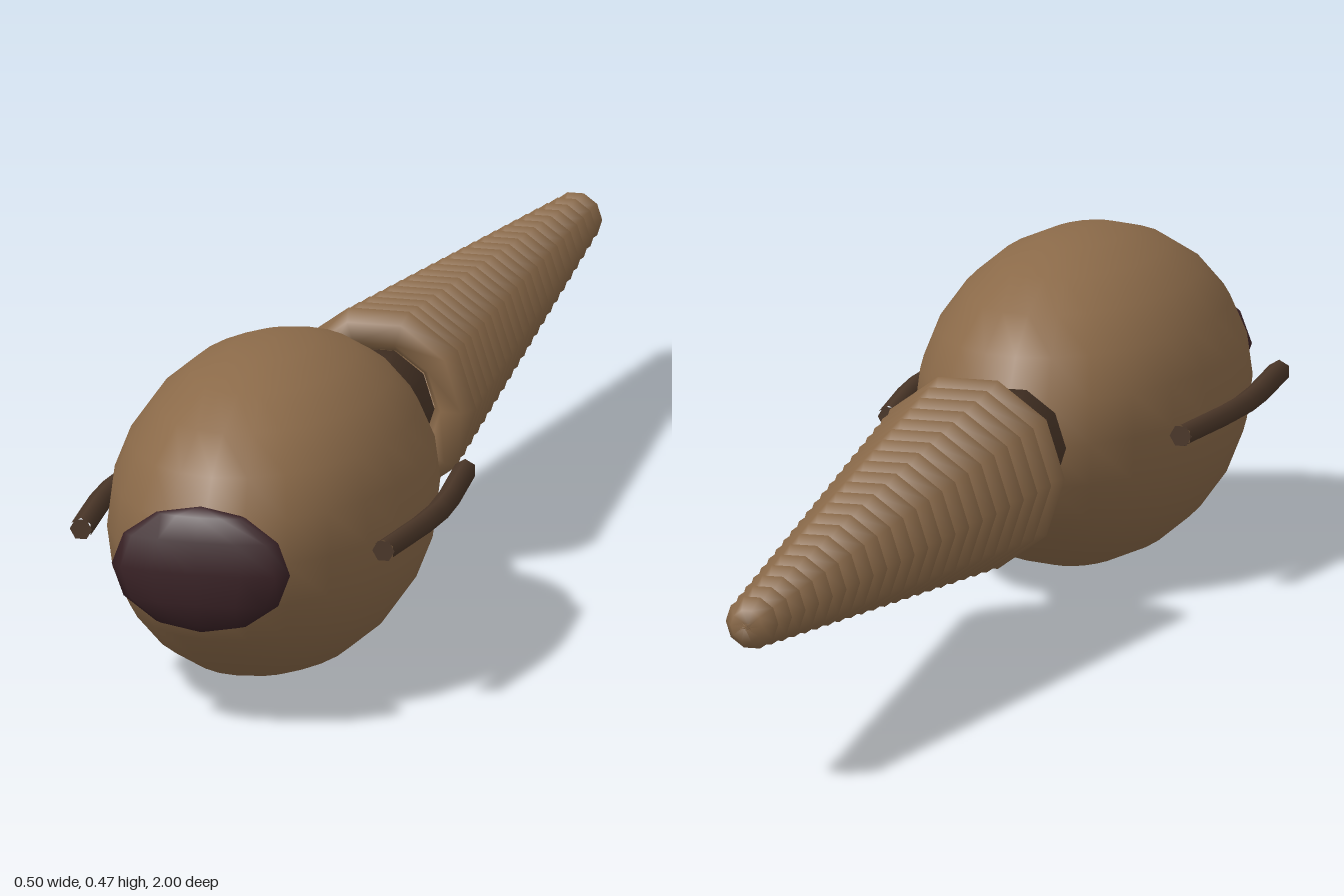
import * as THREE from 'three';

export function createModel() {
  const model = new THREE.Group();
  const AXIS_Y = 0.233;

  const tan = new THREE.MeshStandardMaterial({ name: 'tan skin', color: 0x8b6a49 });
  const brown = new THREE.MeshStandardMaterial({ name: 'dark brown', color: 0x4a3628 });
  const maroon = new THREE.MeshStandardMaterial({ name: 'mouth maroon', color: 0x3a2226 });

  const add = (name, geometry, material, z, parent = model) => {
    const mesh = new THREE.Mesh(geometry, material);
    mesh.name = name;
    mesh.position.set(0, AXIS_Y, z);
    parent.add(mesh);
    return mesh;
  };

  // Egg-shaped body and flattened mouth
  add('body', new THREE.SphereGeometry(1, 24, 12).scale(0.217, 0.233, 0.37), tan, 0.59);
  add('mouth', new THREE.SphereGeometry(1, 12, 6).scale(0.128, 0.09, 0.033), maroon, 0.967);

  // Hourglass neck, running along z
  const neckProfile = [[0, -0.09], [0.083, -0.09], [0.056, 0], [0.083, 0.09], [0, 0.09]]
    .map(([r, h]) => new THREE.Vector2(r, h));
  add('neck', new THREE.LatheGeometry(neckProfile, 10).rotateX(Math.PI / 2).rotateZ(Math.PI / 2), brown, 0.147);

  // Tail of overlapping rings, tapering backwards
  const tail = new THREE.Group();
  tail.name = 'tail';
  model.add(tail);
  const RINGS = 22, TUBE = 0.03;
  for (let i = 0; i < RINGS; i++) {
    const t = i / (RINGS - 1);
    const radius = THREE.MathUtils.lerp(0.11, 0.008, t);
    add('tailRing', new THREE.TorusGeometry(radius, TUBE, 6, 10), tan, THREE.MathUtils.lerp(0.045, -0.974, t), tail);
  }

  // Bent side rods, mirrored, with closed ends
  for (const side of [1, -1]) {
    const rod = new THREE.Group();
    rod.name = side > 0 ? 'leftRod' : 'rightRod';
    model.add(rod);
    const points = [[0.211, 0.36], [0.234, 0.585], [0.217, 0.805]]
      .map(([x, z]) => new THREE.Vector3(side * x, 0, z));
    const path = new THREE.CatmullRomCurve3(points);
    add('rodShaft', new THREE.TubeGeometry(path, 6, 0.016, 6), brown, 0, rod);
    for (const [point, turn] of [[points[0], Math.PI], [points[2], 0]]) {
      const cap = add('rodEnd', new THREE.CircleGeometry(0.016, 6).rotateY(turn), brown, point.z, rod);
      cap.position.x = point.x;
    }
  }

  return model;
}
